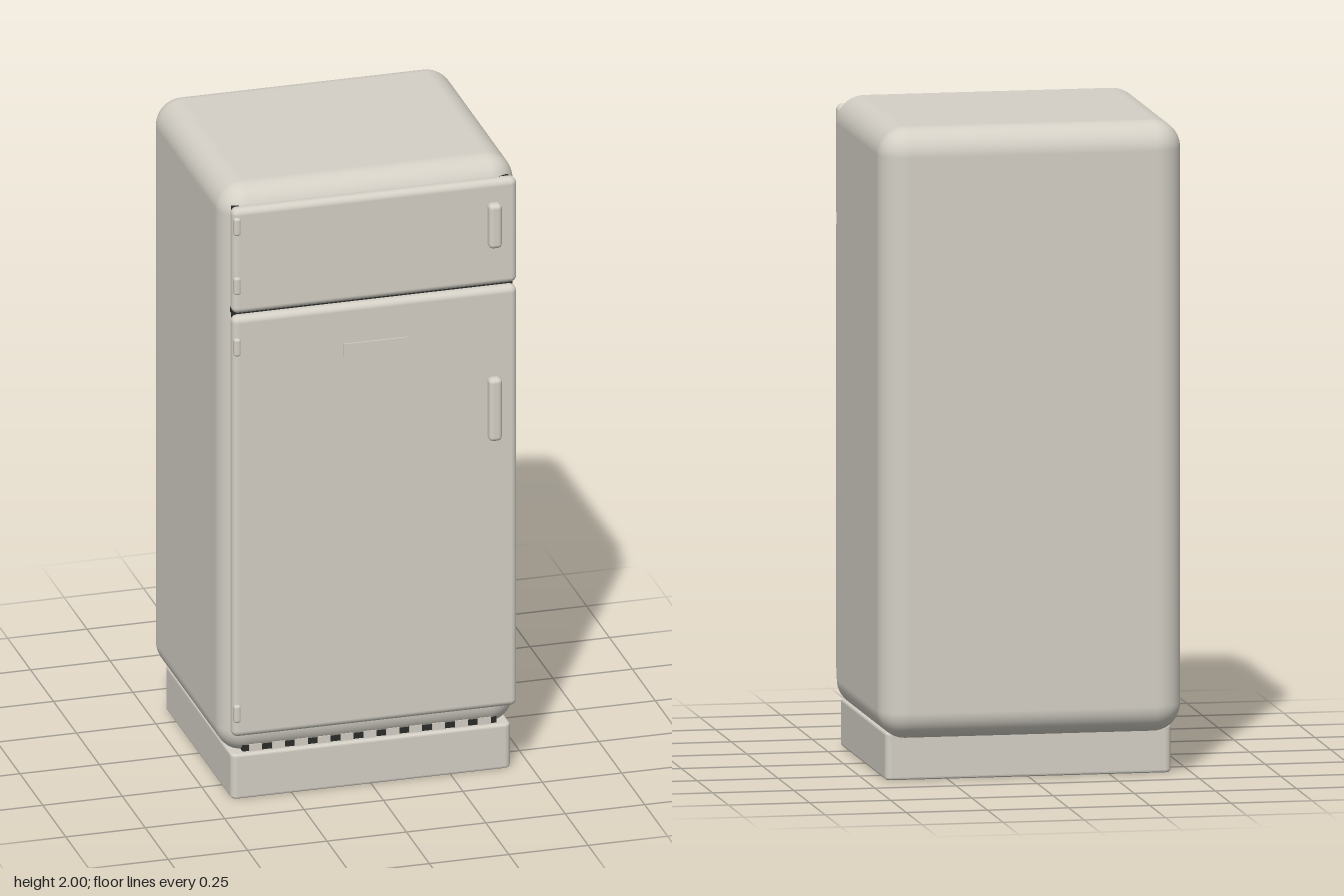
import * as THREE from 'three';
import { RoundedBoxGeometry } from 'three/addons/geometries/RoundedBoxGeometry.js';

export function createModel() {
  const root = new THREE.Group();
  root.name = 'refrigerator';
  const enamel = new THREE.MeshStandardMaterial({ color: 0xd4d0c6 });
  enamel.name = 'warm grey enamel';
  const rubber = new THREE.MeshStandardMaterial({ color: 0x2b2b2a });
  rubber.name = 'dark rubber';

  const add = (name, geometry, material = enamel) => {
    const mesh = new THREE.Mesh(geometry, material);
    mesh.name = name;
    root.add(mesh);
    return mesh;
  };
  // Box between two corners, rounded when r is given
  const box = (name, [x0, y0, z0], [x1, y1, z1], r = 0, material = enamel, seg = 4) => {
    const size = [x1 - x0, y1 - y0, z1 - z0];
    const geometry = r ? new RoundedBoxGeometry(...size, seg, r) : new THREE.BoxGeometry(...size);
    add(name, geometry, material).position.set((x0 + x1) / 2, (y0 + y1) / 2, (z0 + z1) / 2);
  };
  // Rounded rectangle outline
  const outline = (path, w, d, r) => {
    const x = w / 2, y = d / 2;
    path.moveTo(-x + r, -y);
    path.lineTo(x - r, -y);
    path.absarc(x - r, -y + r, r, -Math.PI / 2, 0);
    path.lineTo(x, y - r);
    path.absarc(x - r, y - r, r, 0, Math.PI / 2);
    path.lineTo(-x + r, y);
    path.absarc(-x + r, y - r, r, Math.PI / 2, Math.PI);
    path.lineTo(-x, -y + r);
    path.absarc(-x + r, -y + r, r, Math.PI, Math.PI * 1.5);
    return path;
  };

  // Cabinet
  box('cabinet', [-0.466, 0.13, -0.44], [0.466, 2, 0.365], 0.085, enamel, 8);

  // Hollow plinth, open underneath
  const ring = outline(new THREE.Shape(), 0.864, 0.714, 0.012);
  ring.holes.push(outline(new THREE.Path(), 0.8, 0.65, 0.008));
  const plinth = new THREE.ExtrudeGeometry(ring, {
    depth: 0.13, bevelThickness: 0.008, bevelSize: 0.008, bevelSegments: 3, curveSegments: 4,
  });
  plinth.rotateX(-Math.PI / 2);
  add('plinth', plinth).position.set(0, 0.008, 0.005);

  // Vent above the plinth: dark slot with a row of teeth
  box('ventSlot', [-0.4, 0.115, 0.275], [0.4, 0.168, 0.349], 0, rubber);
  for (let i = 0; i < 11; i++) {
    const x = -0.36 + i * 0.072;
    box('ventTooth', [x - 0.02, 0.14, 0.33], [x + 0.02, 0.169, 0.354]);
  }
  // Fine louvres at the back of the vent
  for (let i = 0; i < 40; i++) {
    const x = -0.39 + i * 0.02;
    box('ventLouvre', [x - 0.005, 0.115, 0.262], [x + 0.005, 0.135, 0.276], 0, rubber);
  }

  // Doors with their gaskets
  const doors = [
    { name: 'freezerDoor', y0: 1.615, y1: 1.96, handle: [1.745, 1.89] },
    { name: 'fridgeDoor', y0: 0.22, y1: 1.605, handle: [1.11, 1.316] },
  ];
  for (const { name, y0, y1, handle } of doors) {
    box(name, [-0.448, y0, 0.366], [0.448, y1, 0.411], 0.02);
    box(name + 'Gasket', [-0.436, y0 + 0.012, 0.345], [0.436, y1 - 0.012, 0.37], 0, rubber);
    box(name + 'Handle', [0.353, handle[0], 0.4], [0.394, handle[1], 0.438], 0.014);
  }
  box('doorGapSeal', [-0.44, 1.602, 0.35], [0.44, 1.618, 0.38], 0, rubber);

  // Hinges
  for (const y of [1.905, 1.71, 1.508, 0.3]) {
    box('hinge', [-0.445, y - 0.029, 0.385], [-0.424, y + 0.029, 0.418], 0.008);
  }

  // Blank nameplate
  box('nameplate', [-0.1, 1.44, 0.409], [0.1, 1.48, 0.415]);
  return root;
}
